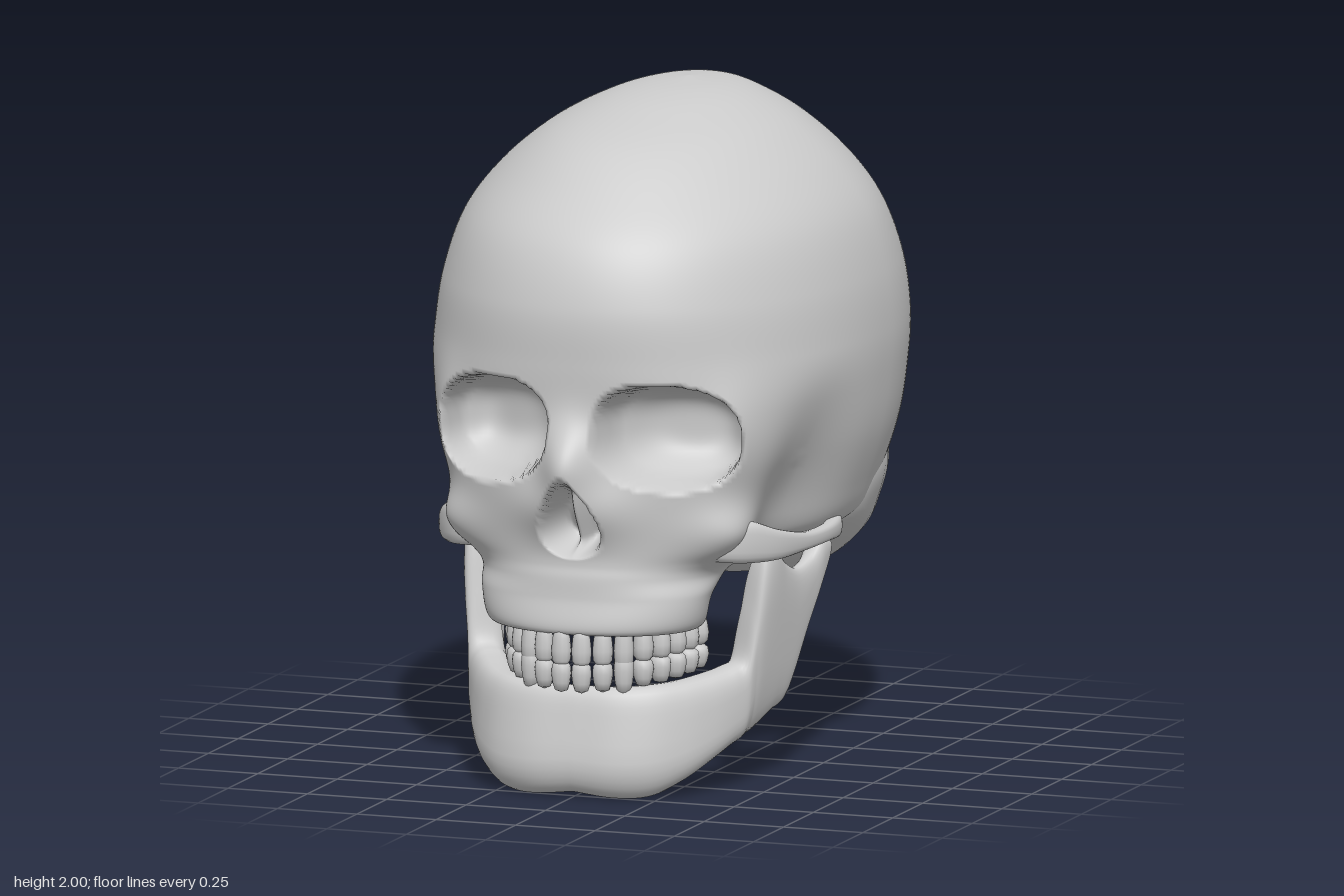
import * as THREE from 'three';

const bone = new THREE.MeshStandardMaterial({ color: 0xcccccc });
bone.name = 'bone grey';

const smoothstep = THREE.MathUtils.smoothstep;
const gauss = (v, s) => Math.exp(-(v / s) * (v / s));
const spow = (v, p) => Math.sign(v) * Math.pow(Math.abs(v), p);

// Smooth lookup through the rows of a small table; t runs 0..1
function spline(table) {
  const size = table[0].length, last = table.length - 1;
  const curve = new THREE.CubicInterpolant(table.map((_, i) => i), new Float32Array(table.flat()), size);
  return t => Array.from(curve.evaluate(THREE.MathUtils.clamp(t, 0, 1) * last));
}

// Skin over a grid of closed rings: point(u, v) with u along the rings and v around each one
function skin(name, rows, cols, point) {
  const pos = [], index = [];
  for (let i = 0; i <= rows; i++)
    for (let j = 0; j < cols; j++) pos.push(...point(i / rows, j / cols));
  for (let i = 0; i < rows; i++)
    for (let j = 0; j < cols; j++) {
      const k = (j + 1) % cols;
      const a = i * cols + j, b = a + cols, c = (i + 1) * cols + k, d = i * cols + k;
      index.push(a, b, c, a, c, d);
    }
  const geo = new THREE.BufferGeometry();
  geo.setAttribute('position', new THREE.Float32BufferAttribute(pos, 3));
  geo.setIndex(index);
  geo.computeVertexNormals();
  return named(name, geo);
}

function named(name, geo) {
  const mesh = new THREE.Mesh(geo, bone);
  mesh.name = name;
  return mesh;
}

// Horizontal ring, denser at the face: squared-off front half, elliptical back half
function ringPoint([y, w, zc, zf, zb, n], v) {
  const t = Math.PI * spow(v * 2 - 1, 1.5);
  const c = Math.cos(t), s = Math.sin(t), p = c > 0 ? 2 / n : 1;
  const z = c > 0 ? zc + (zf - zc) * Math.pow(c, p) : zc + (zc - zb) * c;
  return [w * spow(s, p), y, z];
}

// Rings from crown to palate: y, half width, widest z, front z, back z, front squareness
const skullRings = spline([
  [2.0, 0, -0.2, -0.2, -0.2, 2],
  [1.985, 0.13, -0.18, 0, -0.37, 2],
  [1.95, 0.24, -0.15, 0.19, -0.46, 2],
  [1.88, 0.37, -0.13, 0.43, -0.56, 2],
  [1.77, 0.5, -0.12, 0.6, -0.67, 2],
  [1.64, 0.595, -0.12, 0.73, -0.76, 2.05],
  [1.47, 0.65, -0.12, 0.795, -0.855, 2.1],
  [1.3, 0.67, -0.12, 0.8, -0.89, 2.2],
  [1.15, 0.665, -0.1, 0.79, -0.89, 2.4],
  [1.0, 0.645, -0.08, 0.78, -0.875, 2.5],
  [0.85, 0.6, -0.08, 0.77, -0.8, 2.5],
  [0.75, 0.558, -0.08, 0.77, -0.71, 2.45],
  [0.7, 0.49, 0.05, 0.775, -0.38, 2.4],
  [0.66, 0.42, 0.28, 0.785, 0, 2.3],
  [0.6, 0.37, 0.51, 0.79, 0.37, 2.2],
  [0.5, 0.335, 0.52, 0.8, 0.42, 2.2],
  [0.51, 0.24, 0.53, 0.7, 0.44, 2],
  [0.55, 0, 0.55, 0.55, 0.55, 2],
]);

// Temples, cheekbones, nose bridge, eye sockets and nasal opening
function sculpt([x0, y, z]) {
  const side = Math.sign(x0);
  let x = Math.abs(x0);

  const temple = 1 - smoothstep(y, 0.8, 1.3);
  x *= 1 - 0.17 * temple * gauss(z - 0.33, 0.19);

  const cheek = gauss(x - 0.42, 0.12) * gauss(y - 0.78, 0.09) * gauss(z - 0.6, 0.14);
  x += 0.05 * cheek;
  z += 0.03 * cheek;

  if (z > 0.3) {
    // nose bridge, nasal margin and outer socket rim
    z += 0.09 * gauss(x, 0.085) * gauss(y - 1.01, y > 1.01 ? 0.11 : 0.1);
    z += 0.07 * gauss(x, 0.17) * gauss(y - 0.87, 0.1);
    z += 0.03 * gauss(x - 0.46, 0.07) * gauss(y - 1.08, 0.15);

    // eye sockets: crisp rim, rounded bowl
    const tilt = 1.09 - 0.06 * (x - 0.27);
    const socket = 1.06 - Math.abs((x - 0.272) / 0.2) ** 2.3 - Math.abs((y - tilt) / 0.155) ** 2.5;
    z -= 0.12 * smoothstep(socket, 0, 0.35) + 0.14 * smoothstep(socket, 0, 1.15);

    // pear-shaped nasal opening with a thin septum
    const h = (y - 0.72) / 0.25;
    const nose = (x / (0.105 * Math.max(0.2, 1.25 - 0.85 * h))) ** 2 + ((h - 0.5) / 0.5) ** 2;
    z -= 0.17 * smoothstep(1.05 - nose, 0, 0.7) * (1 - 0.45 * gauss(x, 0.016));
  }
  return [side * x, y, z];
}

// Rounded back of the head underneath, with a shallow hollow in its base
const occiputRings = spline([
  [0.98, 0.57, -0.22, 0.13, -0.8, 2],
  [0.85, 0.59, -0.2, 0.15, -0.79, 2],
  [0.75, 0.567, -0.2, 0.15, -0.738, 2],
  [0.68, 0.53, -0.25, 0.12, -0.67, 2],
  [0.62, 0.475, -0.28, 0.05, -0.59, 2],
  [0.57, 0.41, -0.28, -0.01, -0.5, 2],
  [0.54, 0.32, -0.25, -0.07, -0.4, 2],
  [0.56, 0.17, -0.24, -0.14, -0.33, 2],
  [0.59, 0, -0.24, -0.24, -0.24, 2],
]);

// Upright band following a table of x, z, bottom y, top y, thickness
function bandPoint(table, t, v, side) {
  const [x, z, low, high, thick] = table(t);
  const p = table(t - 0.01), q = table(t + 0.01), a = v * Math.PI * 2;
  const dx = q[0] - p[0], dz = q[1] - p[1], len = Math.hypot(dx, dz) || 1;
  const out = spow(Math.cos(a), 0.7) * thick / 2;
  const y = (low + high) / 2 + spow(Math.sin(a), 0.7) * (high - low) / 2;
  return [side * (x - dz / len * out), y, z + dx / len * out];
}

// Half of the jaw, chin to hinge
const jawHalf = spline([
  [0, 0.735, 0.02, 0.335, 0.1],
  [0.12, 0.725, 0.006, 0.335, 0.11],
  [0.21, 0.685, 0.01, 0.34, 0.12],
  [0.275, 0.62, 0.045, 0.345, 0.13],
  [0.325, 0.545, 0.09, 0.355, 0.135],
  [0.367, 0.475, 0.13, 0.37, 0.13],
  [0.395, 0.435, 0.15, 0.4, 0.12],
  [0.408, 0.415, 0.16, 0.54, 0.105],
  [0.418, 0.395, 0.165, 0.69, 0.095],
  [0.43, 0.355, 0.18, 0.72, 0.085],
  [0.446, 0.29, 0.21, 0.66, 0.075],
  [0.46, 0.22, 0.245, 0.63, 0.07],
  [0.472, 0.15, 0.41, 0.65, 0.07],
  [0.48, 0.1, 0.53, 0.7, 0.075],
  [0.487, 0.055, 0.64, 0.69, 0.06],
  [0.489, 0.045, 0.665, 0.665, 0],
]);

// Whole jaw from right hinge to left, leaning outward at the back, fuller at the chin
function jawPoint(u, v) {
  const s = u * 2 - 1, side = s < 0 ? -1 : 1, t = Math.abs(s);
  const [x, y, z] = bandPoint(jawHalf, t, v, side);
  const back = smoothstep(t, 0.25, 0.65);
  return [x + side * back * 0.1 * (y - 0.35), y, z + (1 - back) * 0.03 * gauss(y - 0.09, 0.12)];
}

// Cheek arch growing out of the cheekbone and back to the temple
const cheekArch = spline([
  [0.33, 0.6, 0.71, 0.79, 0.05],
  [0.41, 0.575, 0.7, 0.82, 0.06],
  [0.47, 0.525, 0.695, 0.82, 0.06],
  [0.52, 0.44, 0.695, 0.785, 0.05],
  [0.55, 0.3, 0.7, 0.755, 0.045],
  [0.56, 0.15, 0.7, 0.75, 0.045],
  [0.54, 0.02, 0.69, 0.755, 0.05],
  [0.5, -0.06, 0.7, 0.76, 0.04],
]);

// One row of teeth set evenly around the dental arch
function teeth(name, geo, count, y, height, rise) {
  const row = new THREE.Group();
  row.name = name;
  const arch = new THREE.EllipseCurve(0, 0.45, 0.268, 0.335, 0, Math.PI);
  arch.getSpacedPoints(count - 1).forEach((p, i) => {
    const fromFront = Math.abs(i / (count - 1) * 2 - 1);
    const canine = Math.abs(fromFront - 0.333) < 0.05 ? 0.03 : 0;
    const tooth = named('tooth', geo);
    tooth.position.set(p.x, y + rise * fromFront, p.y);
    tooth.rotation.y = Math.atan2(p.x / 0.268 ** 2, (p.y - 0.45) / 0.335 ** 2);
    tooth.scale.set(0.062, height * (1 - 0.2 * fromFront) + canine, 0.05 + 0.03 * fromFront);
    row.add(tooth);
  });
  return row;
}

export function createModel() {
  const model = new THREE.Group();
  model.name = 'skull';

  model.add(skin('craniumAndFace', 204, 220, (u, v) => sculpt(ringPoint(skullRings(u), v))));
  model.add(skin('occiput', 40, 80, (u, v) => ringPoint(occiputRings(u), v)));
  model.add(skin('lowerJaw', 180, 32, jawPoint));
  model.add(skin('leftCheekArch', 42, 20, (u, v) => bandPoint(cheekArch, u, v, 1)));
  model.add(skin('rightCheekArch', 42, 20, (u, v) => bandPoint(cheekArch, 1 - u, v, -1)));

  // Unit tooth: broad biting end down, narrower root up
  const profile = [[0, -0.5], [0.3, -0.48], [0.46, -0.36], [0.5, -0.12], [0.44, 0.18], [0.32, 0.42], [0, 0.5]];
  const upper = new THREE.LatheGeometry(profile.map(p => new THREE.Vector2(...p)), 12);
  const lower = upper.clone().rotateX(Math.PI);
  model.add(teeth('upperTeeth', upper, 16, 0.46, 0.125, 0.015));
  model.add(teeth('lowerTeeth', lower, 16, 0.365, 0.095, 0.025));
  return model;
}
